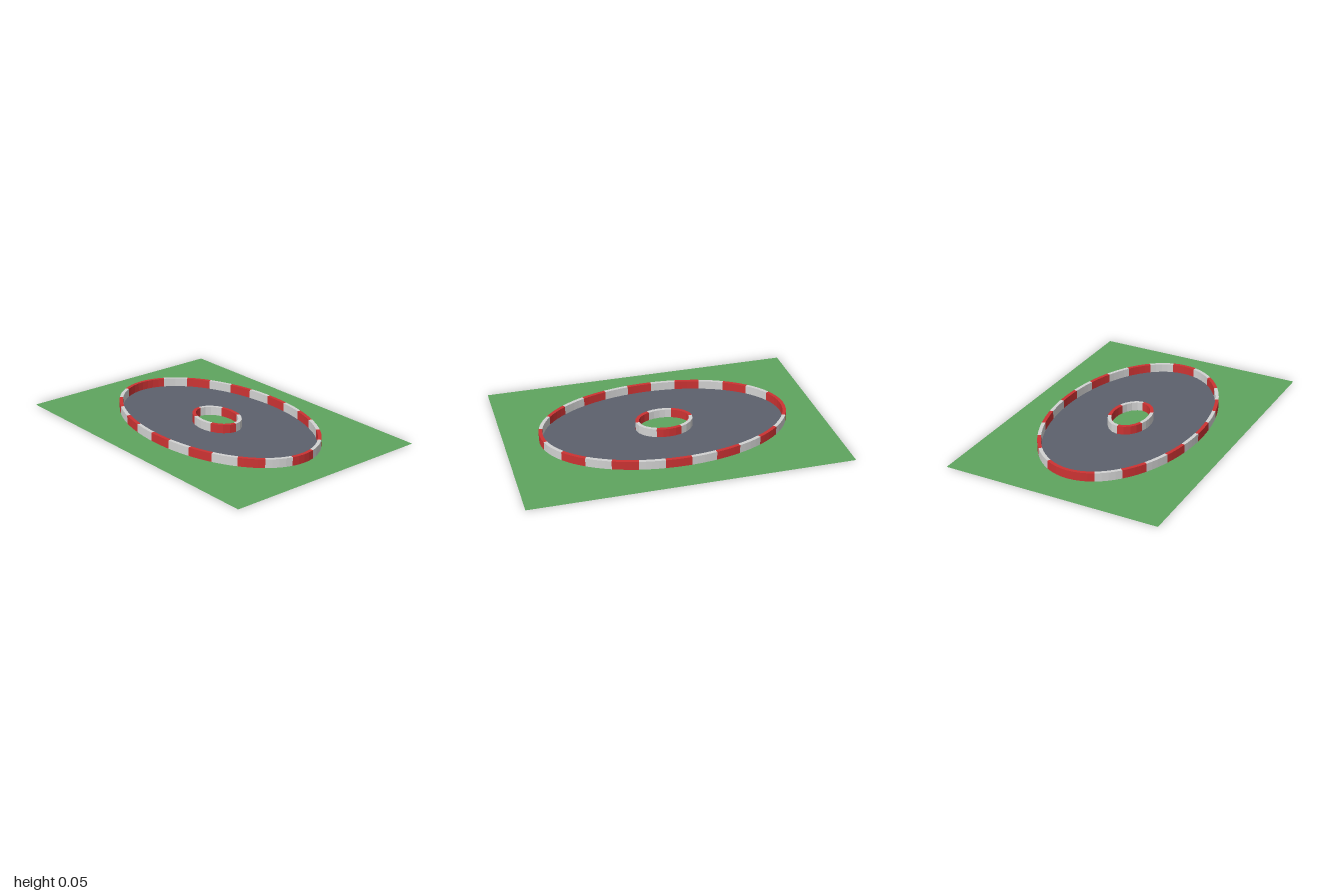
import * as THREE from 'three';

const WIDTH = 2, DEPTH = 1.385;
const WALL_HEIGHT = 0.055, WALL_THICKNESS = 0.022;
const FACETS = 4; // straight facets per barrier block

const material = (name, color, side = THREE.FrontSide) => {
  const m = new THREE.MeshStandardMaterial({ color, side });
  m.name = name;
  return m;
};

// Ellipse starting at -x and running across the front towards +x
const ellipse = (rx, rz) => new THREE.EllipseCurve(0, 0, rx, rz, Math.PI, 3 * Math.PI);

export function createModel() {
  const grass = material('grass green', 0x5fa55f, THREE.DoubleSide);
  const asphalt = material('asphalt grey', 0x5c616d, THREE.DoubleSide);
  const red = material('barrier red', 0xcc3333);
  const white = material('barrier white', 0xd2d2d2);

  const model = new THREE.Group();
  model.name = 'raceTrack';

  const outer = { curve: ellipse(0.776, 0.472), blocks: 25 };
  const inner = { curve: ellipse(0.171, 0.12), blocks: 6 };
  const outline = ({ curve, blocks }) => curve.getSpacedPoints(blocks * FACETS).slice(0, -1);

  // Flat ground areas, fitted into each other
  const addFlat = (name, points, hole, mat) => {
    const shape = new THREE.Shape(points);
    if (hole) shape.holes.push(new THREE.Path(hole));
    const mesh = new THREE.Mesh(new THREE.ShapeGeometry(shape).rotateX(-Math.PI / 2), mat);
    mesh.name = name;
    model.add(mesh);
  };
  const corners = [[-1, -1], [1, -1], [1, 1], [-1, 1]]
    .map(([x, y]) => new THREE.Vector2(x * WIDTH / 2, y * DEPTH / 2));
  addFlat('grassField', corners, outline(outer), grass);
  addFlat('roadSurface', outline(outer), outline(inner), asphalt);
  addFlat('grassIsland', outline(inner), null, grass);

  // Barrier of equally long blocks in alternating colours
  const addBarrier = (name, { curve, blocks }) => {
    const barrier = new THREE.Group();
    barrier.name = name;
    for (let i = 0; i < blocks; i++) {
      const outside = [], inside = [];
      for (let j = 0; j <= FACETS; j++) {
        const u = (i + j / FACETS) / blocks;
        const p = curve.getPointAt(u), t = curve.getTangentAt(u);
        const n = new THREE.Vector2(t.y, -t.x).multiplyScalar(WALL_THICKNESS / 2);
        outside.push(p.clone().add(n));
        inside.unshift(p.clone().sub(n));
      }
      const geometry = new THREE.ExtrudeGeometry(
        new THREE.Shape([...outside, ...inside]),
        { depth: WALL_HEIGHT - 0.001, bevelEnabled: false });
      geometry.rotateX(-Math.PI / 2).translate(0, 0.001, 0);
      const block = new THREE.Mesh(geometry, i % 2 ? white : red);
      block.name = 'barrierBlock';
      barrier.add(block);
    }
    model.add(barrier);
  };
  addBarrier('outerBarrier', outer);
  addBarrier('innerBarrier', inner);

  return model;
}
